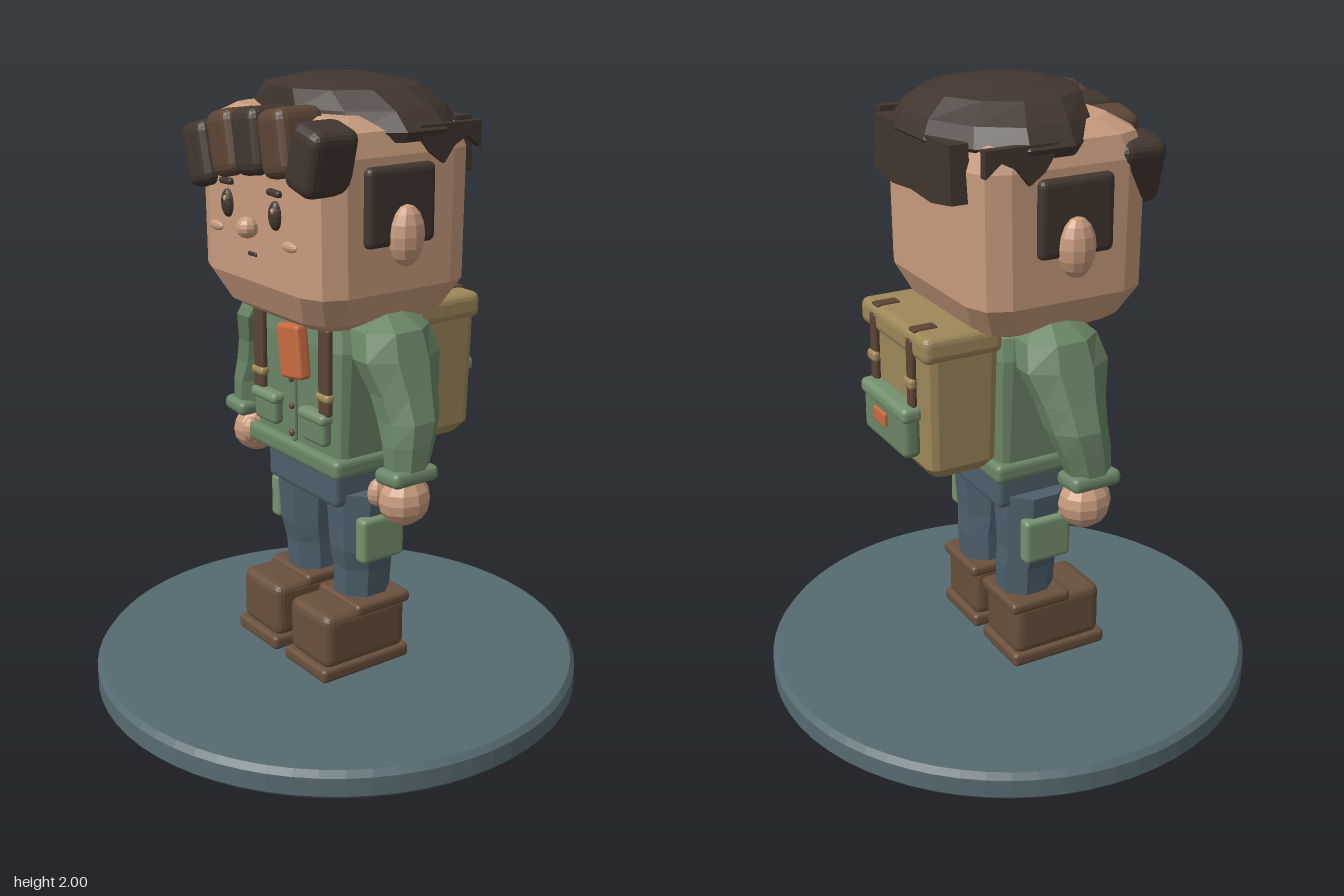
import * as THREE from 'three';
import { RoundedBoxGeometry } from 'three/addons/geometries/RoundedBoxGeometry.js';

const paint = (name, color) => Object.assign(new THREE.MeshStandardMaterial({ color }), { name });

// Faceted copy of a geometry
function flat(geo) {
  const g = geo.index ? geo.toNonIndexed() : geo;
  g.computeVertexNormals();
  return g;
}

// Skin a stack of equal-length point rings, bottom to top, with closed ends
function loft(rings) {
  const n = rings[0].length, pos = [];
  const tri = (...p) => p.forEach(v => pos.push(v[0], v[1], v[2]));
  const mid = r => [0, 1, 2].map(k => r.reduce((s, p) => s + p[k], 0) / n);
  const lo = rings[0], hi = rings[rings.length - 1], cl = mid(lo), ch = mid(hi);
  for (let i = 0; i < n; i++) {
    const j = (i + 1) % n;
    for (let k = 0; k + 1 < rings.length; k++) {
      const a = rings[k], b = rings[k + 1];
      tri(a[i], a[j], b[j]);
      tri(a[i], b[j], b[i]);
    }
    tri(cl, lo[j], lo[i]);
    tri(ch, hi[i], hi[j]);
  }
  const g = new THREE.BufferGeometry();
  g.setAttribute('position', new THREE.Float32BufferAttribute(pos, 3));
  g.computeVertexNormals();
  return g;
}

// Elliptical ring, and rectangular ring with cut corners
const oval = (n, y, cx, cz, rx, rz) => Array.from({ length: n }, (_, i) => {
  const a = (i + 0.5) / n * Math.PI * 2;
  return [cx + rx * Math.sin(a), y, cz + rz * Math.cos(a)];
});
const rect = (y, hw, hd, c, cz = 0) => Array.from({ length: 12 }, (_, i) => {
  const k = Math.floor(i / 3), a = (k + (i % 3) / 2) * Math.PI / 2;
  const sx = k < 2 ? 1 : -1, sz = k === 0 || k === 3 ? 1 : -1;
  return [sx * (hw - c) + c * Math.sin(a), y, cz + sz * (hd - c) + c * Math.cos(a)];
});

export function createModel() {
  const skin = paint('skin', 0xc99c7e), hair = paint('dark hair', 0x42362f);
  const brown = paint('brown strap', 0x5c4535), boot = paint('boot leather', 0x69503c);
  const green = paint('jacket green', 0x6b8667), pale = paint('pocket green', 0x76926f);
  const denim = paint('trouser blue', 0x4d606c), slate = paint('base slate', 0x566a71);
  const tan = paint('canvas tan', 0x9e8859), orange = paint('orange', 0xca6b40);

  const model = new THREE.Group();
  model.name = 'backpackerFigure';
  const add = (name, geo, mat, x = 0, y = 0, z = 0, rz = 0) => {
    const m = new THREE.Mesh(geo, mat);
    m.name = name;
    m.position.set(x, y, z);
    m.rotation.z = rz;
    model.add(m);
    return m;
  };
  const box = (name, mat, w, h, d, x, y, z, rz = 0, r = 0.015) =>
    add(name, flat(new RoundedBoxGeometry(w, h, d, 2, Math.min(r, w * 0.45, h * 0.45, d * 0.45))), mat, x, y, z, rz);
  const ball = (name, mat, rx, ry, rz, x, y, z) =>
    add(name, flat(new THREE.SphereGeometry(1, 10, 8).scale(rx, ry, rz)), mat, x, y, z);
  const limb = (name, mat, s, rows) =>
    add(name, loft(rows.map(([y, cx, ...r]) => oval(8, y, cx * s, ...r))), mat);
  const plate = (pts, depth) => new THREE.ExtrudeGeometry(
    new THREE.Shape(pts.map(p => new THREE.Vector2(...p))), { depth, bevelEnabled: false });

  // Display base
  const rim = [[0, 0.005], [0.79, 0.005], [0.805, 0.02], [0.805, 0.08], [0.79, 0.1], [0, 0.1]];
  add('base', flat(new THREE.LatheGeometry(rim.map(p => new THREE.Vector2(...p)), 64)), slate);

  // Legs, boots and thigh pockets
  for (const s of [-1, 1]) {
    box('bootSole', boot, 0.23, 0.048, 0.345, s * 0.14, 0.143, 0.058);
    box('bootUpper', boot, 0.215, 0.185, 0.32, s * 0.14, 0.25, 0.055, 0, 0.03);
    box('bootCuff', boot, 0.225, 0.04, 0.215, s * 0.14, 0.335, -0.012);
    limb('leg', denim, s, [[0.34, 0.13, -0.01, 0.085, 0.095], [0.45, 0.135, -0.01, 0.09, 0.1],
      [0.52, 0.14, 0, 0.1, 0.105], [0.72, 0.14, 0, 0.118, 0.118]]);
    box('thighPocket', pale, 0.05, 0.15, 0.165, s * 0.24, 0.575, 0.002);
  }
  box('hips', denim, 0.385, 0.15, 0.28, 0, 0.755, 0, 0, 0.02);

  // Jacket
  add('jacketBody', loft([rect(0.82, 0.235, 0.155, 0.03), rect(1.2, 0.25, 0.16, 0.04),
    rect(1.27, 0.235, 0.15, 0.04), rect(1.32, 0.16, 0.11, 0.04)]), green);
  box('jacketHem', green, 0.5, 0.065, 0.355, 0, 0.83, 0.003, 0, 0.02);
  box('jacketPlacket', green, 0.022, 0.41, 0.02, 0, 1.065, 0.16);
  for (const y of [0.89, 0.98, 1.07, 1.16]) ball('button', brown, 0.011, 0.011, 0.008, 0, y, 0.173);
  add('neck', new THREE.CylinderGeometry(0.1, 0.1, 0.08, 10), skin, 0, 1.3, 0);

  for (const s of [-1, 1]) {
    box('jacketPocket', green, 0.12, 0.1, 0.04, s * 0.133, 0.945, 0.17);
    box('pocketFlap', pale, 0.14, 0.035, 0.05, s * 0.133, 0.985, 0.175);
    box('shoulderStrap', brown, 0.055, 0.28, 0.025, s * 0.18, 1.135, 0.17);
    box('strapBuckle', tan, 0.068, 0.03, 0.035, s * 0.18, 1.055, 0.172);
    box('strapTop', brown, 0.055, 0.02, 0.32, s * 0.18, 1.29, 0.01);

    // Arms and hands
    limb('sleeve', green, s, [[0.86, 0.425, 0.045, 0.056, 0.07], [0.95, 0.415, 0.03, 0.066, 0.088],
      [1.02, 0.392, 0.015, 0.086, 0.1], [1.1, 0.365, 0.01, 0.083, 0.115], [1.2, 0.322, 0.008, 0.09, 0.15],
      [1.28, 0.285, 0.005, 0.1, 0.13], [1.33, 0.25, 0.005, 0.05, 0.07]]);
    box('sleeveCuff', green, 0.115, 0.05, 0.17, s * 0.425, 0.855, 0.045, s * 0.08, 0.02);
    ball('hand', skin, 0.073, 0.082, 0.086, s * 0.41, 0.768, 0.04);
    ball('thumb', skin, 0.028, 0.045, 0.035, s * 0.355, 0.785, 0.1);
  }
  box('chestRadio', orange, 0.115, 0.17, 0.045, 0.077, 1.187, 0.215, 0.13, 0.012);

  // Backpack
  add('packBody', loft([rect(0.845, 0.19, 0.09, 0.03, -0.27), rect(0.88, 0.215, 0.115, 0.03, -0.27),
    rect(1.25, 0.225, 0.12, 0.03, -0.27)]), tan);
  box('packLid', tan, 0.465, 0.085, 0.265, 0, 1.272, -0.273, 0, 0.025);
  box('packPocket', green, 0.3, 0.15, 0.06, 0, 0.98, -0.41, 0, 0.02);
  box('packPocketFlap', pale, 0.32, 0.05, 0.07, 0, 1.05, -0.412, 0, 0.018);
  box('packPatch', orange, 0.085, 0.045, 0.012, 0, 1.0, -0.45);
  box('packHandle', brown, 0.13, 0.02, 0.03, 0, 1.32, -0.22);
  for (const s of [-1, 1]) {
    box('packStrap', brown, 0.04, 0.22, 0.02, s * 0.13, 1.18, -0.402);
    box('packStrapTop', brown, 0.04, 0.012, 0.08, s * 0.13, 1.315, -0.36);
    box('packBuckle', tan, 0.055, 0.035, 0.025, s * 0.13, 1.15, -0.408);
  }

  // Head: block with cut corners and tapered jaw
  add('head', loft([rect(1.27, 0.23, 0.19, 0.09, 0.015), rect(1.305, 0.295, 0.245, 0.1, 0.015),
    rect(1.4, 0.345, 0.29, 0.1, 0.015), rect(1.8, 0.345, 0.295, 0.1, 0.015),
    rect(1.87, 0.325, 0.275, 0.1, 0.015), rect(1.91, 0.26, 0.21, 0.08, 0.015)]), skin);

  // Face
  ball('nose', skin, 0.036, 0.033, 0.035, 0, 1.57, 0.325);
  box('mouth', hair, 0.045, 0.012, 0.01, 0, 1.487, 0.308);
  for (const s of [-1, 1]) {
    ball('eye', hair, 0.028, 0.044, 0.02, s * 0.13, 1.623, 0.31);
    ball('eyeGlint', skin, 0.007, 0.009, 0.005, s * 0.13 + 0.008, 1.64, 0.327);
    box('eyebrow', hair, 0.065, 0.02, 0.025, s * 0.13, 1.69, 0.312, -s * 0.04);
    ball('cheek', skin, 0.038, 0.016, 0.012, s * 0.2, 1.543, 0.31);
    ball('ear', skin, 0.045, 0.092, 0.06, s * 0.375, 1.572, 0.018);
    box('sideburn', hair, 0.05, 0.235, 0.25, s * 0.345, 1.658, 0.027, 0, 0.02);
    // Pointed locks behind the ears
    const lock = plate([[0.04, 1.88], [0.05, 1.845], [0.08, 1.8], [0.13, 1.765], [0.17, 1.815],
      [0.22, 1.84], [0.27, 1.8], [0.27, 1.88]], 0.03);
    add('sideLock', flat(lock.rotateY(Math.PI / 2)), hair, s * 0.345 - 0.015, 0, 0);
  }

  // Hair cap, back panel and fringe
  add('hairCap', loft([oval(12, 1.835, 0, -0.055, 0.365, 0.26), oval(12, 1.865, 0, -0.06, 0.38, 0.28),
    oval(12, 1.92, 0, -0.05, 0.33, 0.265), oval(12, 1.975, 0, -0.02, 0.245, 0.23),
    oval(12, 2, 0, -0.01, 0.12, 0.11)]), hair);
  add('backHair', flat(plate([[-0.25, 1.88], [-0.26, 1.71], [-0.13, 1.69], [0, 1.7], [0.13, 1.69],
    [0.26, 1.71], [0.25, 1.88]], 0.06)), hair, 0, 0, -0.325);
  const fringe = [[-0.27, 1.755, 0.25], [-0.125, 1.805, 0.22], [0.01, 1.825, 0.15],
    [0.153, 1.835, 0.2], [0.298, 1.805, -0.26]];
  fringe.forEach(([x, y, tilt], i) =>
    box('fringeTuft', i % 2 ? brown : hair, 0.135, 0.2, 0.165, x, y, 0.265, tilt, 0.035));

  return model;
}
